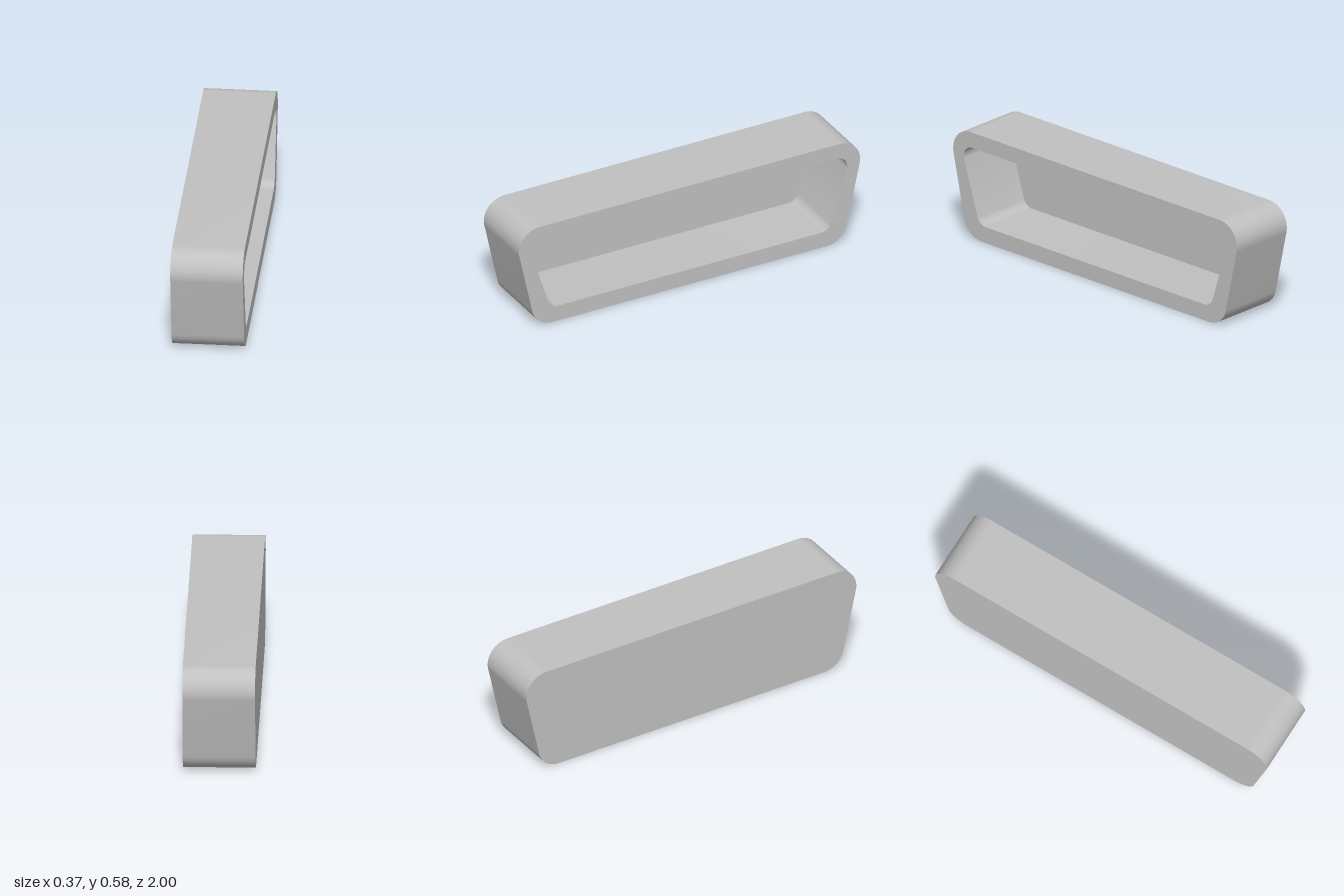
import * as THREE from 'three';
import { toCreasedNormals } from 'three/addons/utils/BufferGeometryUtils.js';

const HALF_WIDTH = 0.187;
const PANEL = 0.026;

// Rounded trapezoid, given the centres of its upper and lower corner arcs
function trapezoid(PathType, topX, topY, lowX, lowY, r) {
  const a = Math.atan2(topX - lowX, topY - lowY);
  const path = new PathType();
  path.absarc(lowX, lowY, r, -Math.PI / 2, -a);
  path.absarc(topX, topY, r, -a, Math.PI / 2);
  path.absarc(-topX, topY, r, Math.PI / 2, Math.PI + a);
  path.absarc(-lowX, lowY, r, Math.PI + a, Math.PI * 1.5);
  path.closePath();
  return path;
}

// Extrudes a side outline along x, from x0 to x1
function slab(name, shape, x0, x1, material) {
  const geometry = new THREE.ExtrudeGeometry(shape, {
    depth: x1 - x0, bevelEnabled: false, curveSegments: 16,
  });
  geometry.rotateY(Math.PI / 2);
  geometry.translate(x0, 0, 0);
  const mesh = new THREE.Mesh(toCreasedNormals(geometry, 0.6), material);
  mesh.name = name;
  return mesh;
}

export function createModel() {
  const grey = new THREE.MeshStandardMaterial({ color: 0xc0c0c0 });
  grey.name = 'light grey';

  const outline = () => trapezoid(THREE.Shape, 0.88, 0.465, 0.804, 0.12, 0.12);

  // Thick surrounding wall, open towards +x
  const rim = outline();
  rim.holes.push(trapezoid(THREE.Path, 0.865, 0.441, 0.771, 0.148, 0.06));

  const group = new THREE.Group();
  group.name = 'trapezoidTray';
  group.add(slab('surroundingWall', rim, -HALF_WIDTH + PANEL, HALF_WIDTH, grey));

  // Thin panel closing the -x side
  group.add(slab('closedPanel', outline(), -HALF_WIDTH, -HALF_WIDTH + PANEL, grey));
  return group;
}
